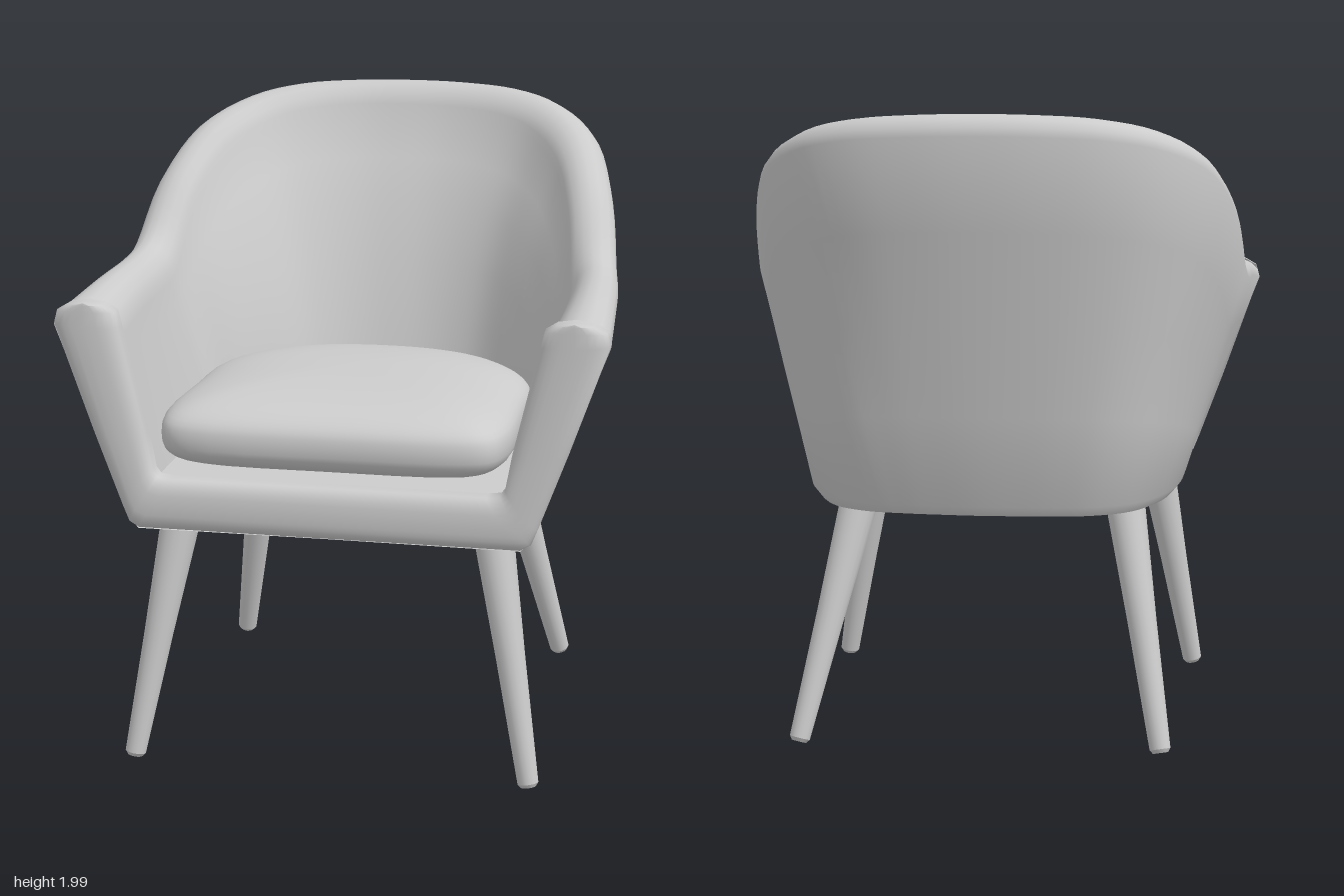
import * as THREE from 'three';
import { toCreasedNormals } from 'three/addons/utils/BufferGeometryUtils.js';

const V = (x, y, z) => new THREE.Vector3(x, y, z);
const { lerp: mix, clamp, smoothstep } = THREE.MathUtils;

function add(parent, name, geometry) {
  const mesh = new THREE.Mesh(geometry,
    new THREE.MeshStandardMaterial({ color: 0xcccccc, side: THREE.DoubleSide }));
  mesh.name = name;
  parent.add(mesh);
}

// Skin a grid of points: rows[i][j]
function skin(rows, crease) {
  const n = rows[0].length, index = [];
  for (let i = 0; i < rows.length - 1; i++)
    for (let j = 0; j < n - 1; j++) {
      const a = i * n + j, b = a + n;
      index.push(a, b, a + 1, b, b + 1, a + 1);
    }
  const g = new THREE.BufferGeometry().setFromPoints(rows.flat());
  g.setIndex(index);
  return toCreasedNormals(g, crease);
}

// Stations from the left arm front to the middle of the back:
// rim height, then x,z of outer top, outer bottom, inner top, inner bottom
const stations = [
  [1.475, 0.85, 0.715, 0.62, 0.725, 0.645, 0.715, 0.54, 0.72],
  [1.505, 0.83, 0.40, 0.62, 0.40, 0.66, 0.40, 0.545, 0.40],
  [1.52, 0.815, 0.12, 0.615, 0.12, 0.66, 0.12, 0.535, 0.12],
  [1.565, 0.80, -0.02, 0.605, -0.06, 0.65, 0.0, 0.52, 0.0],
  [1.735, 0.77, -0.22, 0.57, -0.23, 0.625, -0.15, 0.46, -0.08],
  [1.875, 0.70, -0.44, 0.49, -0.40, 0.56, -0.34, 0.38, -0.17],
  [1.95, 0.57, -0.62, 0.37, -0.485, 0.45, -0.5, 0.28, -0.25],
  [1.985, 0.40, -0.722, 0.24, -0.51, 0.32, -0.585, 0.19, -0.29],
  [1.997, 0.20, -0.768, 0.12, -0.52, 0.16, -0.63, 0.10, -0.31],
  [2.0, 0, -0.78, 0, -0.525, 0, -0.64, 0, -0.315],
];

// Cross-section: underside, outer wall, rounded rim, inner wall, seat deck
function section([h, ox, oz, bx, bz, ix, iz, dx, dz]) {
  const low = h - 0.07, zc = Math.max(dz, -0.1), base = 0.76 + 0.016 * bz;
  const padding = 0.08 * clamp((h - 1.55) / 0.3, 0, 1);
  const pts = [V(0, base, zc), V(bx * 0.96, base, mix(zc, bz, 0.96))];
  for (const t of [0, 0.25, 0.5, 0.75])
    pts.push(V(mix(bx, ox, t), mix(base + 0.03, low, t), mix(bz, oz, t)));
  for (let k = 0; k <= 8; k++) {
    const a = Math.PI * k / 8, t = (1 - Math.cos(a)) / 2;
    pts.push(V(mix(ox, ix, t), low - 0.04 * t * t * t + 0.07 * Math.sin(a), mix(oz, iz, t)));
  }
  for (const t of [0.15, 0.3, 0.5, 0.7, 0.85, 1]) {
    const swell = 1 - padding * 4 * t * (1 - t);
    pts.push(V(mix(ix, dx, t) * swell, mix(low - 0.04, 0.93, t), mix(iz, dz, t) * swell));
  }
  pts.push(V(0, 0.93, zc));
  return pts;
}

function shellGeometry() {
  const half = stations.map(section);
  const all = [...half,
    ...half.slice(0, -1).reverse().map(s => s.map(p => V(-p.x, p.y, p.z)))];
  // the back leans very slightly to the right
  for (const p of all.flat())
    p.x -= 0.018 * smoothstep(p.y, 1.1, 1.6) * smoothstep(-p.z, -0.45, 0.25);
  const columns = all[0].map((_, j) =>
    new THREE.CatmullRomCurve3(all.map(s => s[j]), false, 'catmullrom', 0.5));
  const rows = [];
  for (let i = 0; i <= 72; i++) rows.push(columns.map(c => c.getPoint(i / 72)));
  return skin(rows, 0.9);
}

// Padded U-shaped front: outer and inner edge points from arm tip to rail
function frontGeometry() {
  const edges = [
    [0.745, 1.48, 0.745, 1.48], [0.80, 1.472, 0.69, 1.472], [0.838, 1.45, 0.655, 1.45],
    [0.849, 1.41, 0.643, 1.40], [0.73, 1.07, 0.565, 1.07], [0.645, 0.84, 0.545, 0.96],
    [0.625, 0.79, 0.53, 0.94], [0.595, 0.772, 0.49, 0.935],
  ];
  const strip = s => edges.map(([ox, oy, ix, iy]) => {
    const row = [V(s * ox, oy, 0.68)];
    for (let k = 0; k <= 12; k++) {
      const c = Math.cos(Math.PI * k / 12);
      const t = 0.5 - 0.5 * Math.sign(c) * Math.abs(c) ** 0.7;
      const z = 0.712 + 0.04 * Math.sqrt(Math.max(0, 1 - c * c));
      row.push(V(s * mix(ox, ix, t), mix(oy, iy, t), z));
    }
    row.push(V(s * ix, iy, 0.68));
    return row;
  });
  return skin([...strip(-1), ...strip(1).reverse()], 0.9);
}

// Domed cushion: straight front, round back, pillow-shaped edge
function cushionGeometry() {
  const side = [[0.40, 0.77], [0.50, 0.73], [0.54, 0.62], [0.54, 0.3], [0.53, 0.05],
    [0.46, -0.11], [0.35, -0.24], [0.2, -0.315]];
  const loop = [V(0, 0, 0.78), ...side.map(([x, z]) => V(x, 0, z)), V(0, 0, -0.34),
    ...side.slice().reverse().map(([x, z]) => V(-x, 0, z))];
  const curve = new THREE.CatmullRomCurve3(loop, true, 'centripetal');
  const rows = [];
  for (let i = 0; i <= 64; i++) {
    const p = curve.getPoint((i % 64) / 64), row = [];
    for (let j = 0; j <= 24; j++) {
      const a = -Math.PI / 2 + Math.PI * j / 24;
      const r = j % 24 === 0 ? 0 : Math.cos(a) ** (a < 0 ? 0.35 : 0.45);
      const y = Math.sign(a) * Math.abs(Math.sin(a)) ** 0.7;
      const z = mix(0.22, p.z, r);
      const dome = y > 0 ? y * (0.03 * (1 - r * r) - 0.02 * smoothstep(-z, -0.1, 0.33)) : 0;
      row.push(V(p.x * r, 1.07 + 0.11 * y + dome, z));
    }
    rows.push(row);
  }
  return skin(rows, 1);
}

// Tapered leg between two points, with a softened foot
function legGeometry(top, foot) {
  const length = top.distanceTo(foot);
  const profile = [[0, 0], [0.024, 0], [0.033, 0.012], [0.046, length * 0.5],
    [0.064, length], [0, length]].map(([r, y]) => new THREE.Vector2(r, y));
  const g = toCreasedNormals(new THREE.LatheGeometry(profile, 16), 0.6);
  const dir = top.clone().sub(foot).normalize();
  g.applyQuaternion(new THREE.Quaternion().setFromUnitVectors(V(0, 1, 0), dir));
  return g.translate(foot.x, foot.y, foot.z);
}

export function createModel() {
  const chair = new THREE.Group();
  chair.name = 'armchair';
  add(chair, 'shell', shellGeometry());
  add(chair, 'frontPanel', frontGeometry());
  add(chair, 'seatCushion', cushionGeometry());
  for (const [side, s, backTop] of [['Left', 1, 0.40], ['Right', -1, 0.44]]) {
    add(chair, 'front' + side + 'Leg', legGeometry(V(s * 0.49, 0.8, 0.59), V(s * 0.63, 0.01, 0.71)));
    add(chair, 'back' + side + 'Leg', legGeometry(V(s * backTop, 0.8, -0.29), V(s * 0.575, 0.01, -0.505)));
  }
  return chair;
}
